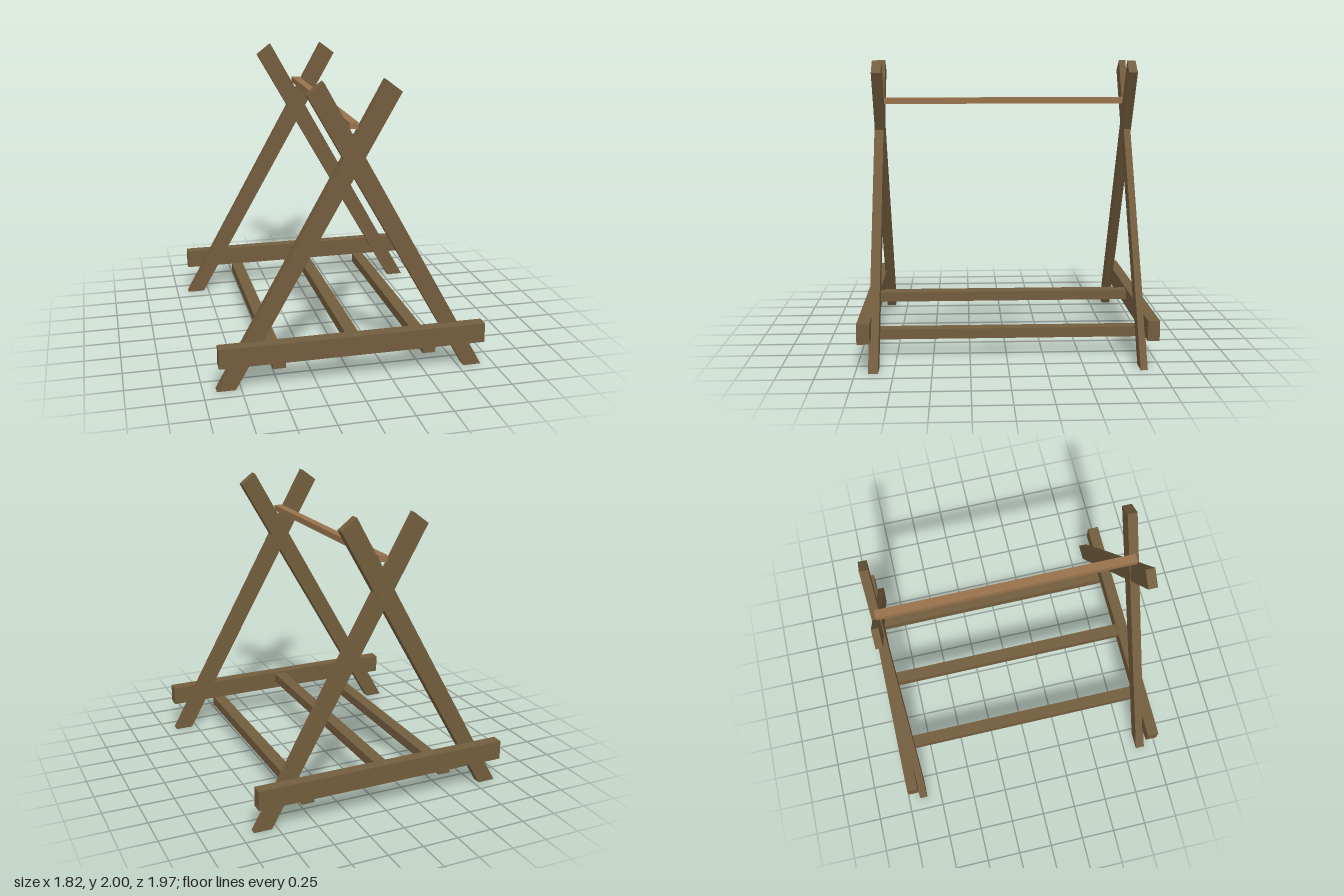
import * as THREE from 'three';

export function createModel() {
  const group = new THREE.Group();
  const darkWood = new THREE.MeshStandardMaterial({ color: 0x735d3e });
  darkWood.name = 'dark wood';
  const lightWood = new THREE.MeshStandardMaterial({ color: 0x98734b });
  lightWood.name = 'light wood';

  // Box given by its limits on each axis
  function beam(name, x0, x1, y0, y1, z0, z1, material = darkWood) {
    const mesh = new THREE.Mesh(new THREE.BoxGeometry(x1 - x0, y1 - y0, z1 - z0), material);
    mesh.position.set((x0 + x1) / 2, (y0 + y1) / 2, (z0 + z1) / 2);
    mesh.name = name;
    group.add(mesh);
  }

  // Leaning plank: flat on the ground, square cut at the top
  function leg(name, side, z0, z1) {
    const outline = [[-0.912, 0], [-0.787, 0], [0.305, 1.92], [0.2, 2]];
    const shape = new THREE.Shape(outline.map(([x, y]) => new THREE.Vector2(x * side, y)));
    const geometry = new THREE.ExtrudeGeometry(shape, { depth: z1 - z0, bevelEnabled: false });
    const mesh = new THREE.Mesh(geometry, darkWood);
    mesh.position.z = z0;
    mesh.name = name;
    group.add(mesh);
  }

  // Crossed end frames; the two planks are a hair out of line
  leg('frontRightLeg', 1, 0.846, 0.912);
  leg('frontLeftLeg', -1, 0.851, 0.915);
  leg('backRightLeg', 1, -0.915, -0.856);
  leg('backLeftLeg', -1, -0.911, -0.864);

  // Rails across the outside of each frame
  beam('frontRail', -0.902, 0.902, 0.195, 0.33, 0.902, 0.986);
  beam('backRail', -0.902, 0.902, 0.195, 0.33, -0.986, -0.908);

  // Stretchers joining the two frames
  beam('rightStretcher', -0.542, -0.455, 0.128, 0.197, -0.91, 0.925);
  beam('leftStretcher', 0.487, 0.575, 0.128, 0.197, -0.91, 0.925);
  beam('middleStretcher', -0.045, 0.043, 0.25, 0.318, -0.92, 0.915);

  // Bar resting in the forks
  beam('topBar', -0.03, 0.028, 1.693, 1.736, -0.885, 0.885, lightWood);

  return group;
}
